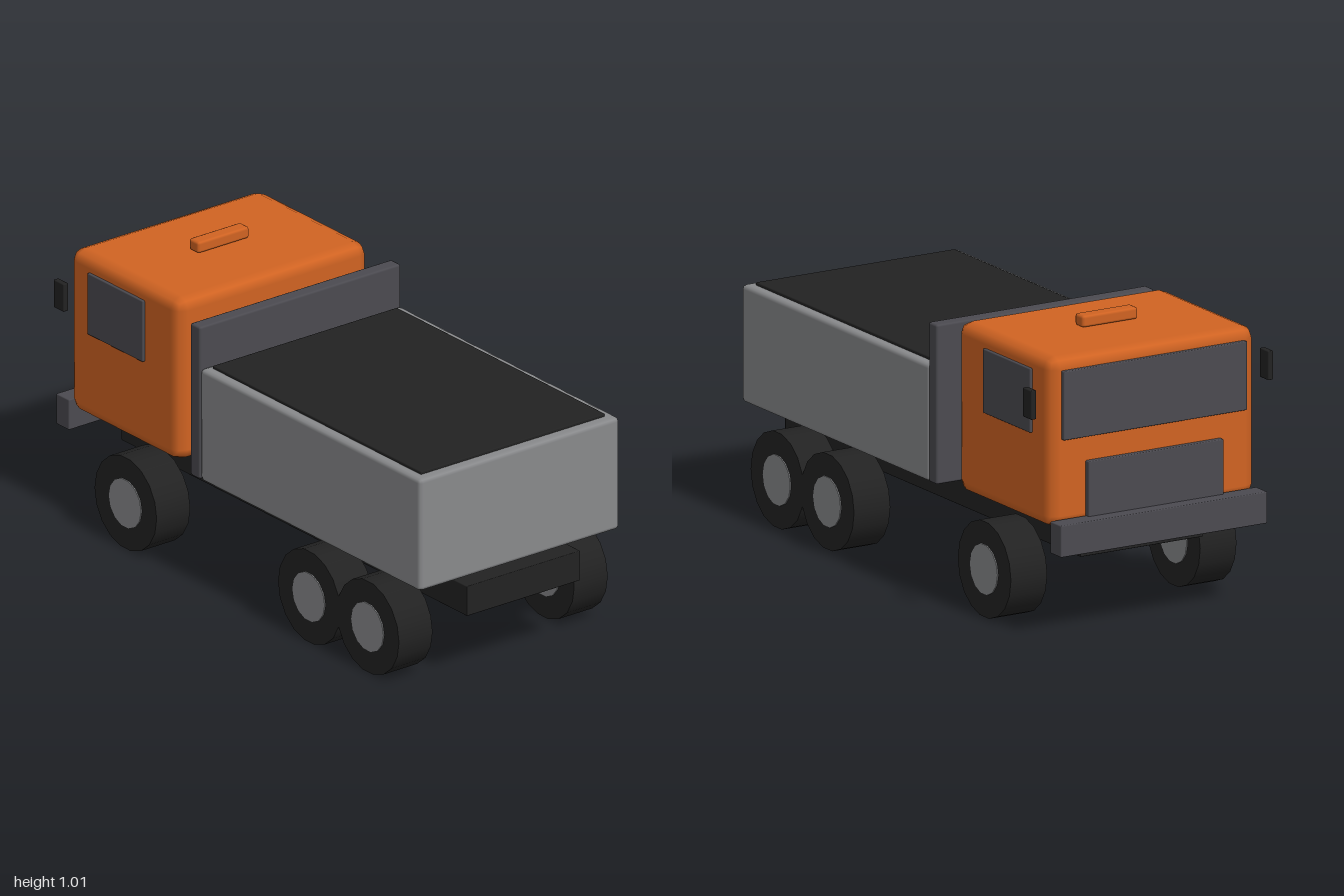
import * as THREE from 'three';
import { RoundedBoxGeometry } from 'three/addons/geometries/RoundedBoxGeometry.js';

const material = (name, color) => {
  const m = new THREE.MeshStandardMaterial({ color });
  m.name = name;
  return m;
};

export function createModel() {
  const orange = material('orange paint', 0xd06322);
  const grey = material('light grey metal', 0x88898b);
  const slate = material('slate grey', 0x4b4a50);
  const black = material('black rubber', 0x222222);

  const truck = new THREE.Group();
  truck.name = 'dumpTruck';

  // Box given by its limits on each axis, with an optional edge radius
  function block(name, mat, [x0, x1], [y0, y1], [z0, z1], radius = 0) {
    const size = [x1 - x0, y1 - y0, z1 - z0];
    const geometry = radius
      ? new RoundedBoxGeometry(...size, 1, radius)
      : new THREE.BoxGeometry(...size);
    const mesh = new THREE.Mesh(geometry, mat);
    mesh.name = name;
    mesh.position.set((x0 + x1) / 2, (y0 + y1) / 2, (z0 + z1) / 2);
    truck.add(mesh);
  }

  // Chassis and bumper
  block('chassis', black, [-0.24, 0.24], [0.245, 0.353], [-0.858, 1], 0.003);
  block('bumper', slate, [-0.405, 0.405], [0.3, 0.41], [-1, -0.93], 0.004);

  // Cab with roof beacon, windscreen and grille
  block('cab', orange, [-0.405, 0.405], [0.378, 0.967], [-0.93, -0.342], 0.042);
  block('roofBeacon', orange, [-0.109, 0.109], [0.969, 1.011], [-0.662, -0.61], 0.01);
  block('windscreen', slate, [-0.36, 0.36], [0.685, 0.923], [-0.946, -0.922], 0.004);
  block('grille', slate, [-0.265, 0.265], [0.405, 0.6], [-0.95, -0.926], 0.004);

  // Dump body: headboard, tub and load
  block('headboard', slate, [-0.426, 0.426], [0.378, 0.93], [-0.252, -0.2], 0.008);
  block('dumpBody', grey, [-0.424, 0.424], [0.375, 0.781], [-0.202, 0.98], 0.015);
  block('load', black, [-0.39, 0.39], [0.7, 0.791], [-0.176, 0.943], 0.004);

  // Side windows and mirrors
  for (const side of [-1, 1]) {
    const label = side > 0 ? 'left' : 'right';
    const span = (a, b) => (side > 0 ? [a, b] : [-b, -a]);
    block(label + 'Window', slate, span(0.395, 0.415), [0.69, 0.912], [-0.82, -0.522], 0.004);
    block(label + 'Mirror', black, span(0.454, 0.475), [0.768, 0.869], [-0.925, -0.87], 0.004);
  }

  // Three axles of wheels, each a tyre with a slightly wider hub
  const tyreGeometry = new THREE.CylinderGeometry(0.167, 0.167, 0.142, 18).rotateZ(Math.PI / 2);
  const hubGeometry = new THREE.CylinderGeometry(0.088, 0.088, 0.15, 14).rotateZ(Math.PI / 2);
  const axles = { front: -0.578, middle: 0.408, rear: 0.724 };
  for (const [axle, z] of Object.entries(axles)) {
    for (const side of [-1, 1]) {
      const wheel = new THREE.Group();
      wheel.name = axle + (side > 0 ? 'Left' : 'Right') + 'Wheel';
      const tyre = new THREE.Mesh(tyreGeometry, black);
      tyre.name = 'tyre';
      const hub = new THREE.Mesh(hubGeometry, grey);
      hub.name = 'hub';
      wheel.add(tyre, hub);
      wheel.position.set(side * 0.371, 0.167, z);
      truck.add(wheel);
    }
  }

  return truck;
}
